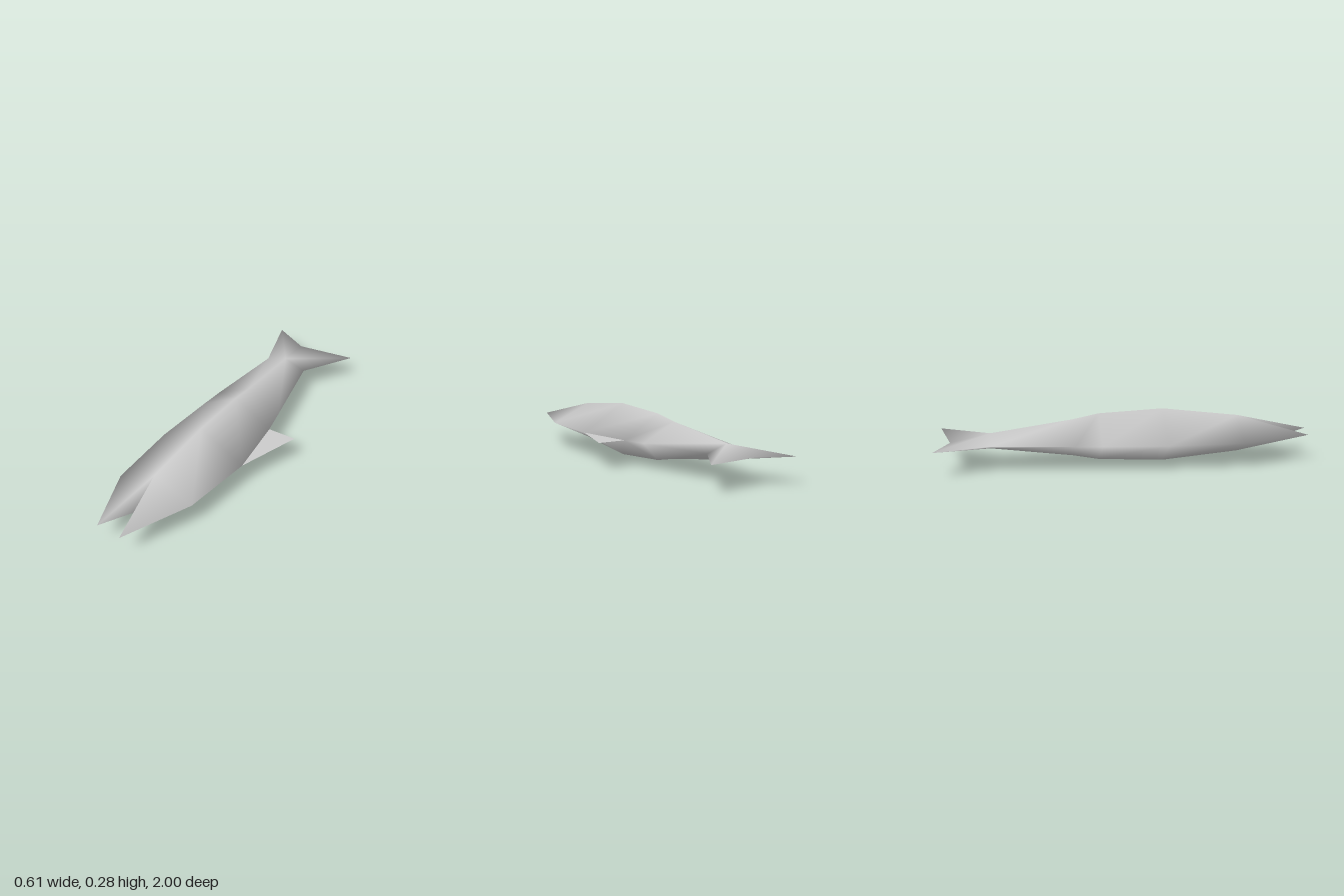
import * as THREE from 'three';

const MID = 0.142; // height of the flat symmetry plane

export function createModel() {
  const model = new THREE.Group();
  model.name = 'fish';
  const grey = new THREE.MeshStandardMaterial({ color: 0xcccccc, side: THREE.DoubleSide });
  grey.name = 'grey skin';

  // Diamond cross-sections, head to tail: z, left x, ridge x, right x, half height
  const sections = [
    [0.61, -0.3, -0.085, 0.137, 0.098],
    [0.21, -0.305, -0.065, 0.185, 0.142],
    [-0.13, -0.275, -0.065, 0.147, 0.125],
    [-0.27, -0.26, -0.07, 0.12, 0.098],
    [-0.7, -0.2, -0.085, 0.035, 0.041],
  ];
  const points = [];
  const faces = [];
  const add = (x, y, z) => points.push(x, y, z) / 3 - 1;
  const rings = sections.map(([z, l, c, r, h]) => [
    add(l, MID, z), add(c, MID + h, z), add(r, MID, z), add(c, MID - h, z),
  ]);

  // Body skin between neighbouring sections
  for (let s = 0; s < rings.length - 1; s++) {
    const a = rings[s], b = rings[s + 1];
    for (let i = 0; i < 4; i++) {
      const j = (i + 1) % 4;
      faces.push(a[i], a[j], b[i], a[j], b[j], b[i]);
    }
  }

  // Adds a triangle on the upper flank and its mirror on the lower flank
  const bothSides = (ring, ...tri) => {
    faces.push(...tri);
    faces.push(...tri.map((v) => (v === ring[1] ? ring[3] : v)).reverse());
  };

  // Open jaws
  const head = rings[0];
  const [hl, ht, hr, hb] = head;
  const jawA = add(-0.175, MID, 0.978);
  const jawB = add(-0.03, MID, 0.995);
  bothSides(head, hl, jawA, ht);
  bothSides(head, ht, jawB, hr);
  faces.push(ht, jawA, hb, ht, hb, jawB); // inside of the mouth

  // Forked tail
  const tail = rings[rings.length - 1];
  const [tl, tt, tr] = tail;
  const tipA = add(-0.283, MID, -1);
  const tipB = add(0.203, MID, -0.957);
  const notch = add(-0.1, MID, -0.91);
  bothSides(tail, tl, tt, tipA);
  bothSides(tail, tt, notch, tipA);
  bothSides(tail, tt, tipB, notch);
  bothSides(tail, tt, tr, tipB);

  const skin = new THREE.BufferGeometry();
  skin.setAttribute('position', new THREE.Float32BufferAttribute(points, 3));
  skin.setIndex(faces);
  skin.computeVertexNormals();
  const body = new THREE.Mesh(skin, grey);
  body.name = 'body';

  // Flat triangular fin
  const outline = new THREE.Shape([
    new THREE.Vector2(0.185, -0.21),
    new THREE.Vector2(0.302, 0.13),
    new THREE.Vector2(0.147, 0.13),
  ]);
  const fin = new THREE.Mesh(new THREE.ShapeGeometry(outline).rotateX(-Math.PI / 2), grey);
  fin.position.y = MID;
  fin.name = 'fin';

  model.add(body, fin);
  return model;
}
